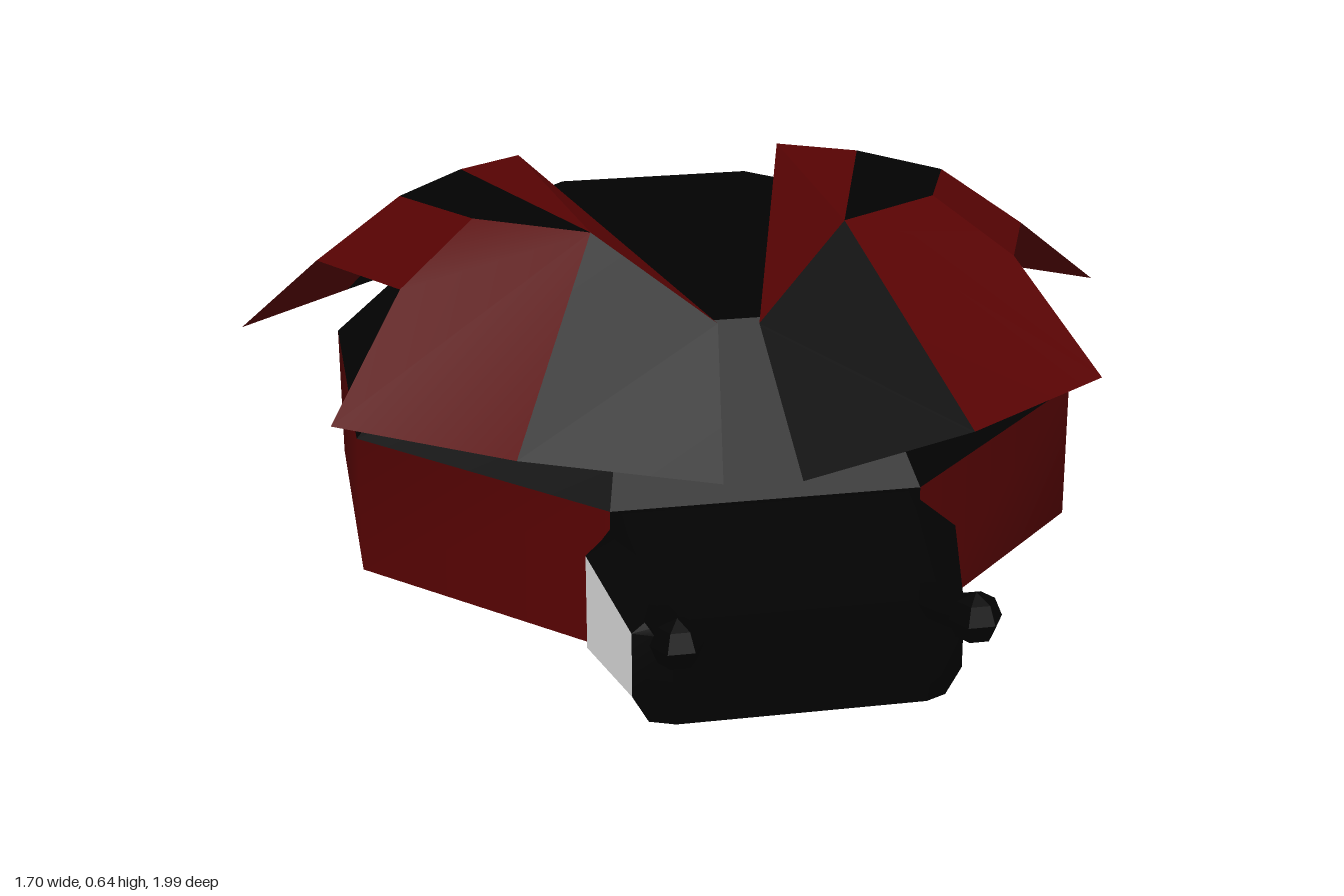
import * as THREE from 'three';
import { toCreasedNormals } from 'three/addons/utils/BufferGeometryUtils.js';

const paint = (name, color) => new THREE.MeshStandardMaterial({ name, color, side: THREE.DoubleSide });

// Mesh from polygons, each a list of [x, y, z] corners; edges sharper than the crease angle stay hard
function polyMesh(name, material, polygons, crease = 0.45) {
  const pos = [];
  for (const p of polygons)
    for (let i = 1; i < p.length - 1; i++) pos.push(...p[0], ...p[i], ...p[i + 1]);
  const geo = new THREE.BufferGeometry();
  geo.setAttribute('position', new THREE.Float32BufferAttribute(pos, 3));
  const mesh = new THREE.Mesh(toCreasedNormals(geo, crease), material);
  mesh.name = name;
  return mesh;
}

// Half outline plus its mirror image, as one closed ring
const mirrorRing = half => [...half, ...half.map(([x, y, z]) => [-x, y, z]).reverse()];

export function createModel() {
  const black = paint('black', 0x020202);
  const red = paint('darkRed', 0x590303);
  const white = paint('white', 0xe7e7e7);
  const brown = paint('brown', 0x573502);
  const model = new THREE.Group();
  model.name = 'beetle';
  const body = new THREE.Group();
  body.name = 'body';
  body.position.x = 0.006;
  model.add(body);

  // Body: octagonal wall, brown belly and low black back
  const outline = [[0.27, 0.48], [0.668, 0.08], [0.668, -0.485], [0.465, -0.685], [0.225, -0.91]];
  const inner = [[0.2, 0.22], [0.44, 0.0], [0.44, -0.39], [0.32, -0.515], [0.19, -0.645]];
  const ring = (pts, y) => mirrorRing(pts.map(([x, z]) => [x, y, z]));
  const low = ring(outline, 0.006), mid = ring(outline, 0.266), top = ring(inner, 0.5);
  const walls = (a, b) => a.map((p, i) => {
    const k = (i + 1) % a.length;
    return [p, a[k], b[k], b[i]];
  });
  const sides = walls(low, mid);
  const isRed = i => i < 3 || (i > 5 && i < 9);
  body.add(
    polyMesh('redBodySides', red, sides.filter((_, i) => isRed(i)), 0.9),
    polyMesh('blackBodySides', black, sides.filter((_, i) => !isRed(i)), 0.9),
    polyMesh('belly', brown, [[...low].reverse()]),
    polyMesh('back', black, [...walls(mid, top), top])
  );

  // Black plate running from the head under the belly
  const plate = new THREE.Mesh(new THREE.BoxGeometry(0.52, 0.005, 0.71), black);
  plate.name = 'underPlate';
  plate.position.set(0, 0.0025, 0.145);
  body.add(plate);

  // Head: chamfered sections from back to front, with white eye panels
  const sections = [
    [0.48, [0.26, 0], [0.285, 0.04], [0.285, 0.215], [0.25, 0.26]],
    [0.53, [0.26, 0], [0.32, 0.04], [0.32, 0.212], [0.25, 0.25]],
    [0.74, [0.25, 0.005], [0.277, 0.053], [0.277, 0.168], [0.23, 0.207]],
    [0.77, [0.21, 0.012], [0.215, 0.05], [0.215, 0.168], [0.195, 0.2]]
  ].map(([z, ...pts]) => mirrorRing(pts.map(([x, y]) => [x, y, z])));
  const headFaces = [sections[3]], eyeFaces = [];
  for (let s = 0; s < 3; s++)
    for (let j = 0; j < 8; j++) {
      const k = (j + 1) % 8, a = sections[s], b = sections[s + 1];
      const target = s === 1 && (j === 1 || j === 5) ? eyeFaces : headFaces;
      target.push([b[j], a[j], a[k], b[k]]);
    }
  body.add(polyMesh('head', black, headFaces), polyMesh('eyes', white, eyeFaces));

  // Wing case corners for the +x side
  const A = [0.045, 0.525, 0.305], B = [0.235, 0.637, 0.105], C = [0.43, 0.632, -0.03];
  const D = [0.57, 0.53, 0.04], E = [0.71, 0.33, 0.17], E2 = [0.41, 0.337, 0.4];
  const F = [0.08, 0.325, 0.535], G = [0.265, 0.54, -0.715], H = [0.4, 0.567, -0.55];
  const I = [0.535, 0.572, -0.38], J = [0.7, 0.455, -0.37], K = [0.85, 0.332, -0.36];
  const L = [0.63, 0.283, -0.68], M = [0.42, 0.23, -1.0];
  const redPanels = [[B, H, G, A], [C, D, J, I], [H, I, J, K, L], [B, E2, E, D, C]];
  const blackPanels = [[A, F, E2, B], [B, C, I, H], [G, H, L, M]];

  for (const side of [1, -1]) {
    // Wing case, mirrored by flipping x and the corner order
    const place = list => side > 0 ? list
      : list.map(([first, ...rest]) => [first, ...rest.reverse()].map(([x, y, z]) => [-x, y, z]));
    const wing = new THREE.Group();
    wing.name = side > 0 ? 'leftWingCase' : 'rightWingCase';
    wing.add(polyMesh('redWingPanels', red, place(redPanels)), polyMesh('blackWingPanels', black, place(blackPanels)));
    // The left case sits slightly turned
    if (side > 0) {
      wing.rotation.y = -0.03;
      wing.position.set(-0.01, 0, 0.01);
    }
    model.add(wing);

    // Antenna: bent stalk with a faceted knob
    const antenna = new THREE.Group();
    antenna.name = side > 0 ? 'leftAntenna' : 'rightAntenna';
    const path = new THREE.CatmullRomCurve3([
      new THREE.Vector3(side * 0.225, 0.18, 0.71),
      new THREE.Vector3(side * 0.22, 0.2, 0.79),
      new THREE.Vector3(side * 0.235, 0.25, 0.94)
    ]);
    const stalk = new THREE.Mesh(toCreasedNormals(new THREE.TubeGeometry(path, 3, 0.027, 6), 0.3), black);
    stalk.name = 'stalk';
    const knob = new THREE.Mesh(toCreasedNormals(new THREE.SphereGeometry(0.043, 6, 4), 0.3), black);
    knob.name = 'knob';
    knob.position.set(side * 0.235, 0.257, 0.957);
    antenna.add(stalk, knob);
    model.add(antenna);
  }
  return model;
}
